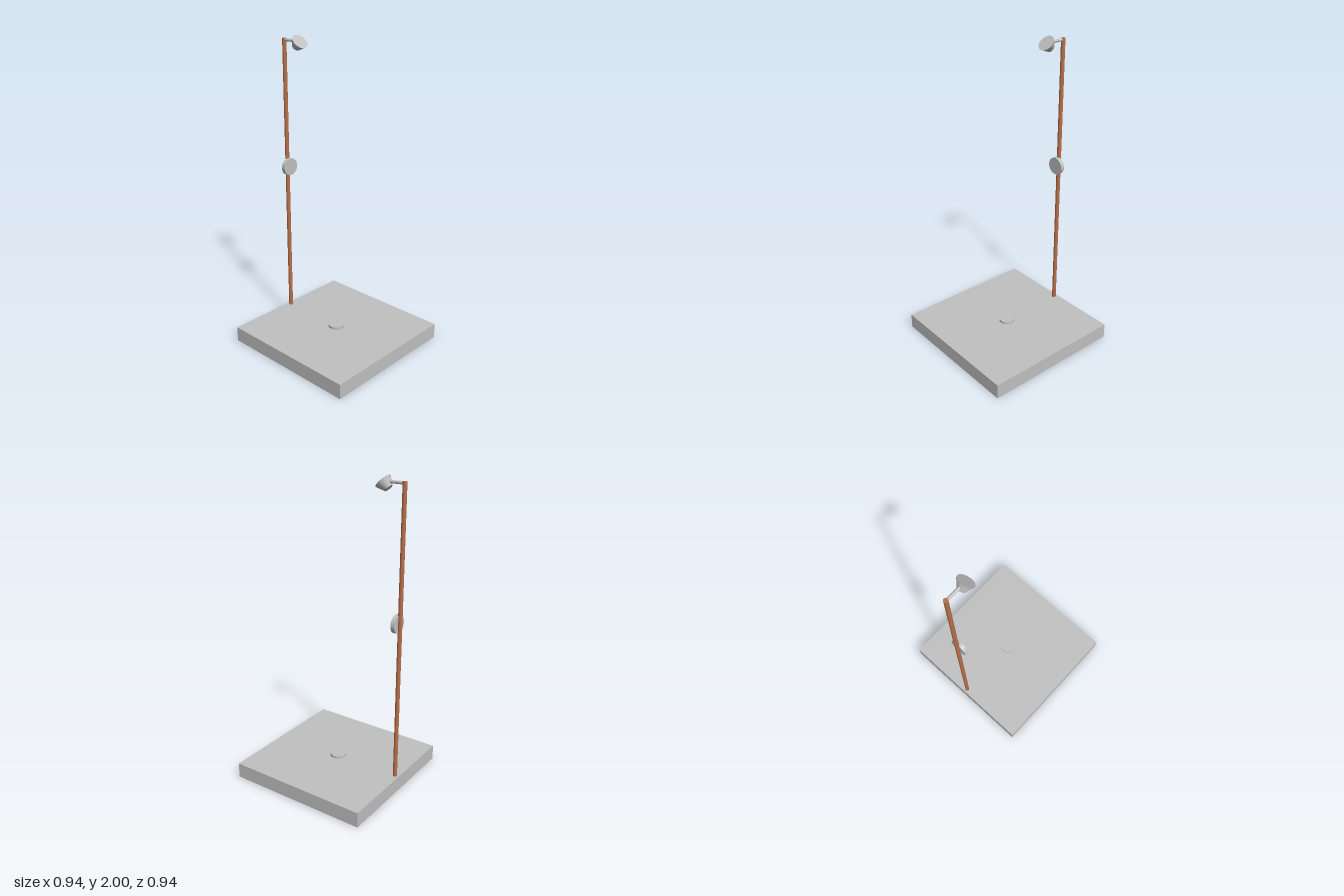
import * as THREE from 'three';

export function createModel() {
  const group = new THREE.Group();
  const metal = new THREE.MeshStandardMaterial({ name: 'silver grey', color: 0xc0c0c0 });
  const copper = new THREE.MeshStandardMaterial({ name: 'copper', color: 0xb8704a });

  const add = (name, geometry, material, x, y, z, tilt = 0) => {
    const mesh = new THREE.Mesh(geometry, material);
    mesh.name = name;
    mesh.position.set(x, y, z);
    mesh.rotation.x = tilt;
    group.add(mesh);
  };
  const cylinder = (top, bottom, height, sides = 32) =>
    new THREE.CylinderGeometry(top, bottom, height, sides);

  // Square shower tray with a raised drain cap
  add('tray', new THREE.BoxGeometry(0.945, 0.1, 0.945), metal, 0, 0.05, 0);
  add('drain', cylinder(0.053, 0.053, 0.016), metal, 0, 0.108, 0);

  // Upright pipe at the back edge
  add('riserPipe', cylinder(0.0135, 0.0135, 1.873, 16), copper, 0, 1.0365, -0.446);

  // Round control disc, facing forward
  add('valveDisc', cylinder(0.057, 0.057, 0.026), metal, 0, 1.137, -0.426, Math.PI / 2);

  // Short arm and flared head, its wide face tilted up and forward
  add('headArm', cylinder(0.0095, 0.0095, 0.1, 16), metal, 0, 1.963, -0.395, Math.PI / 2);
  const h = 0.053, offset = (h / 2) * Math.SQRT1_2;
  add('showerHead', cylinder(0.053, 0.0265, h), metal, 0, 1.9625 - offset, -0.305 - offset, Math.PI / 4);

  return group;
}
